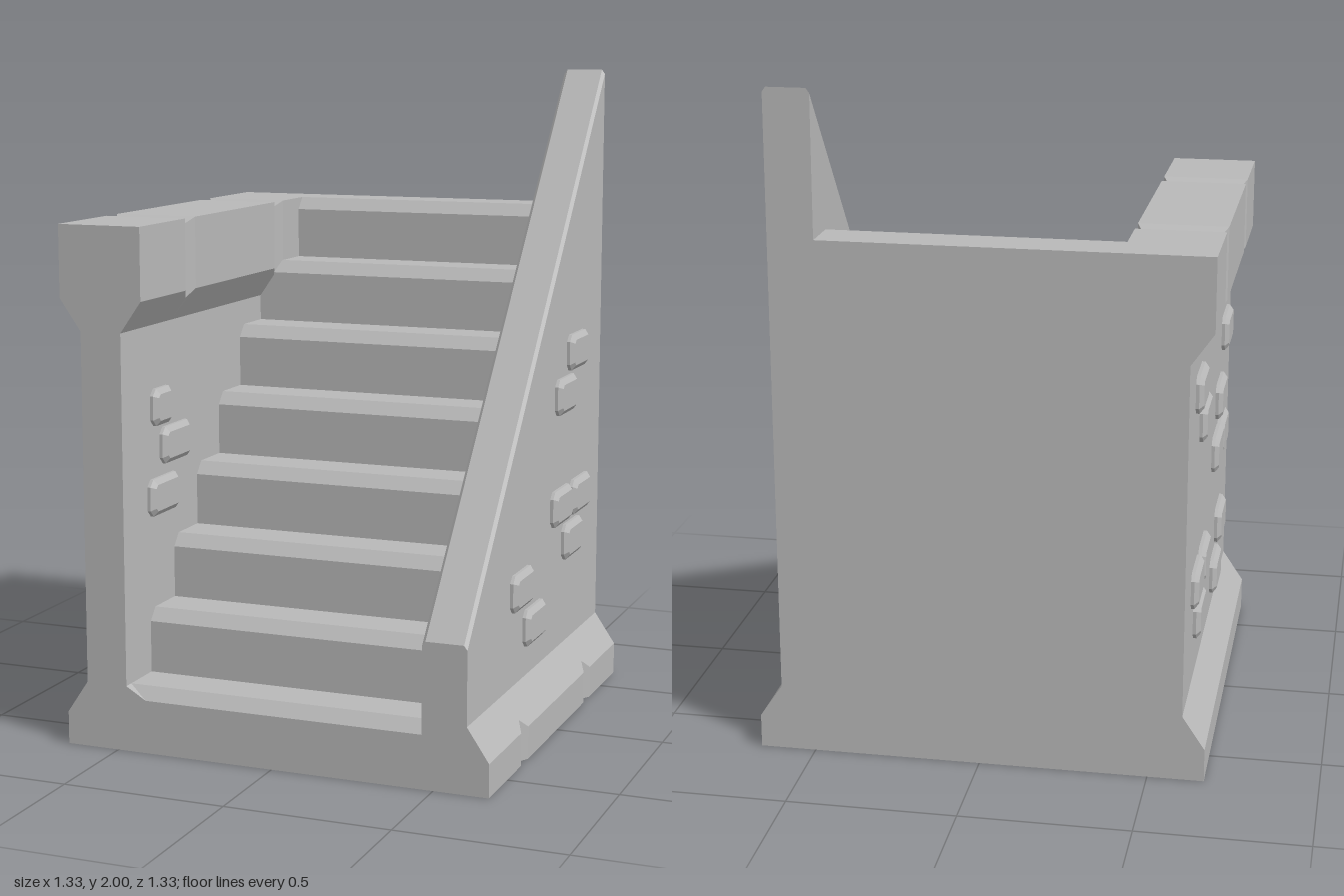
import * as THREE from 'three';

const HALF = 0.667;      // half of width and depth
const TOP = 1.572;       // height of the landing and the coping
const stone = new THREE.MeshStandardMaterial({ color: 0xb8b8b8 });
stone.name = 'stone';

// Solid through cross-sections [z, [[x, y], ...]], counter-clockwise, front to back
function loft(sections) {
  const pos = [];
  const put = (z, p) => pos.push(p[0], p[1], z);
  for (let s = 0; s < sections.length - 1; s++) {
    const [za, a] = sections[s], [zb, b] = sections[s + 1];
    a.forEach((p, i) => {
      const j = (i + 1) % a.length;
      put(za, p); put(zb, b[j]); put(za, a[j]);
      put(za, p); put(zb, b[i]); put(zb, b[j]);
    });
  }
  // End caps
  const cap = ([z, pts], flip) => {
    const contour = pts.map(p => new THREE.Vector2(p[0], p[1]));
    for (const f of THREE.ShapeUtils.triangulateShape(contour, [])) {
      for (const k of flip ? [f[0], f[2], f[1]] : f) put(z, pts[k]);
    }
  };
  cap(sections[0], false);
  cap(sections[sections.length - 1], true);
  const g = new THREE.BufferGeometry();
  g.setAttribute('position', new THREE.Float32BufferAttribute(pos, 3));
  g.computeVertexNormals();
  return g;
}

// Stations along z as [z, groove depth]: two V-grooves at a quarter from each end
const stations = [[HALF, 0]];
for (const c of [0.333, -0.333]) stations.push([c + 0.035, 0], [c, 0.019], [c - 0.035, 0]);
stations.push([-HALF, 0]);

// Tall side wall with a flared foot and a grooved coping
const copedWall = d => [
  [-HALF, 0], [-0.4, 0], [-0.4, 0.158], [-0.47, 0.2], [-0.47, 1.26],
  [-0.403 - d, 1.355 - d * 1.4], [-0.403 - d, TOP - d],
  [-HALF + d, TOP - d], [-HALF + d, 1.355 - d * 1.4],
  [-0.6, 1.26], [-0.6, 0.2], [-HALF, 0.1],
];

// Sloping side wall with a grooved, flared foot and softened top edges
const slopedWall = (z, d) => {
  const h = THREE.MathUtils.mapLinear(z, HALF, -HALF, 0.435, 2);
  return [
    [0.465, 0], [HALF - d, 0], [HALF - d, 0.1 + d * 1.45], [0.6, 0.2],
    [0.6, h - 0.014], [0.59, h], [0.475, h], [0.465, h - 0.014],
  ];
};

// Flight of eight steps with chamfered nosings
function stairsGeometry() {
  const n = 8, run = 2 * HALF / n, rise = (TOP - 0.2) / (n - 1);
  const shape = new THREE.Shape();
  shape.moveTo(-HALF, 0);
  shape.lineTo(HALF, 0);
  for (let i = 0; i < n; i++) {
    const z = HALF - run * i, y = 0.2 + rise * i;
    shape.lineTo(z, y - 0.038);
    shape.lineTo(z - 0.032, y);
    shape.lineTo(z - run, y);
  }
  const g = new THREE.ExtrudeGeometry(shape, { depth: 0.94, bevelEnabled: false });
  g.rotateY(-Math.PI / 2);
  g.translate(0.47, 0, 0);
  return g;
}

// Raised brick: clipped rectangle with a bevelled face
function brickGeometry(w, h) {
  const c = 0.02, x = w / 2, y = h / 2;
  const shape = new THREE.Shape([
    [-x + c, -y], [x - c, -y], [x, -y + c], [x, y - c],
    [x - c, y], [-x + c, y], [-x, y - c], [-x, -y + c],
  ].map(p => new THREE.Vector2(...p)));
  const g = new THREE.ExtrudeGeometry(shape, {
    depth: 0.02, bevelSize: 0.016, bevelOffset: -0.016, bevelThickness: 0.013, bevelSegments: 1,
  });
  g.translate(0, 0, -0.01);
  return g;
}

export function createModel() {
  const model = new THREE.Group();
  model.name = 'stoneStaircase';

  const add = (name, geometry, parent = model) => {
    const mesh = new THREE.Mesh(geometry, stone);
    mesh.name = name;
    parent.add(mesh);
    return mesh;
  };

  add('steps', stairsGeometry());
  add('copedWall', loft(stations.map(([z, d]) => [z, copedWall(d)])));
  add('slopedWall', loft(stations.map(([z, d]) => [z, slopedWall(z, d)])));

  // Bricks on one wall face; list holds [z, y, optional width]
  const addBricks = (name, x, side, list) => {
    const group = new THREE.Group();
    group.name = name;
    for (const [z, y, w = 0.19] of list) {
      const brick = add('brick', brickGeometry(w, 0.113), group);
      brick.position.set(x, y, z);
      brick.rotation.y = side * Math.PI / 2;
    }
    model.add(group);
  };
  addBricks('slopedWallBricks', 0.6, 1, [
    [-0.374, 1.13], [-0.25, 1.005], [-0.215, 0.658], [-0.424, 0.658],
    [-0.34, 0.53], [0.186, 0.485], [0.058, 0.35],
  ]);
  addBricks('copedWallInnerBricks', -0.47, 1, [
    [0.422, 1.01, 0.125], [0.33, 0.885], [0.415, 0.737],
  ]);
  addBricks('copedWallOuterBricks', -0.6, -1, [
    [-0.39, 1.115], [-0.255, 0.985], [0.448, 1.065], [0.278, 0.885],
    [0.363, 0.74], [0.18, 0.74], [-0.194, 0.515], [-0.4, 0.515],
    [-0.315, 0.385], [0.351, 0.44], [0.218, 0.315],
  ]);

  return model;
}
